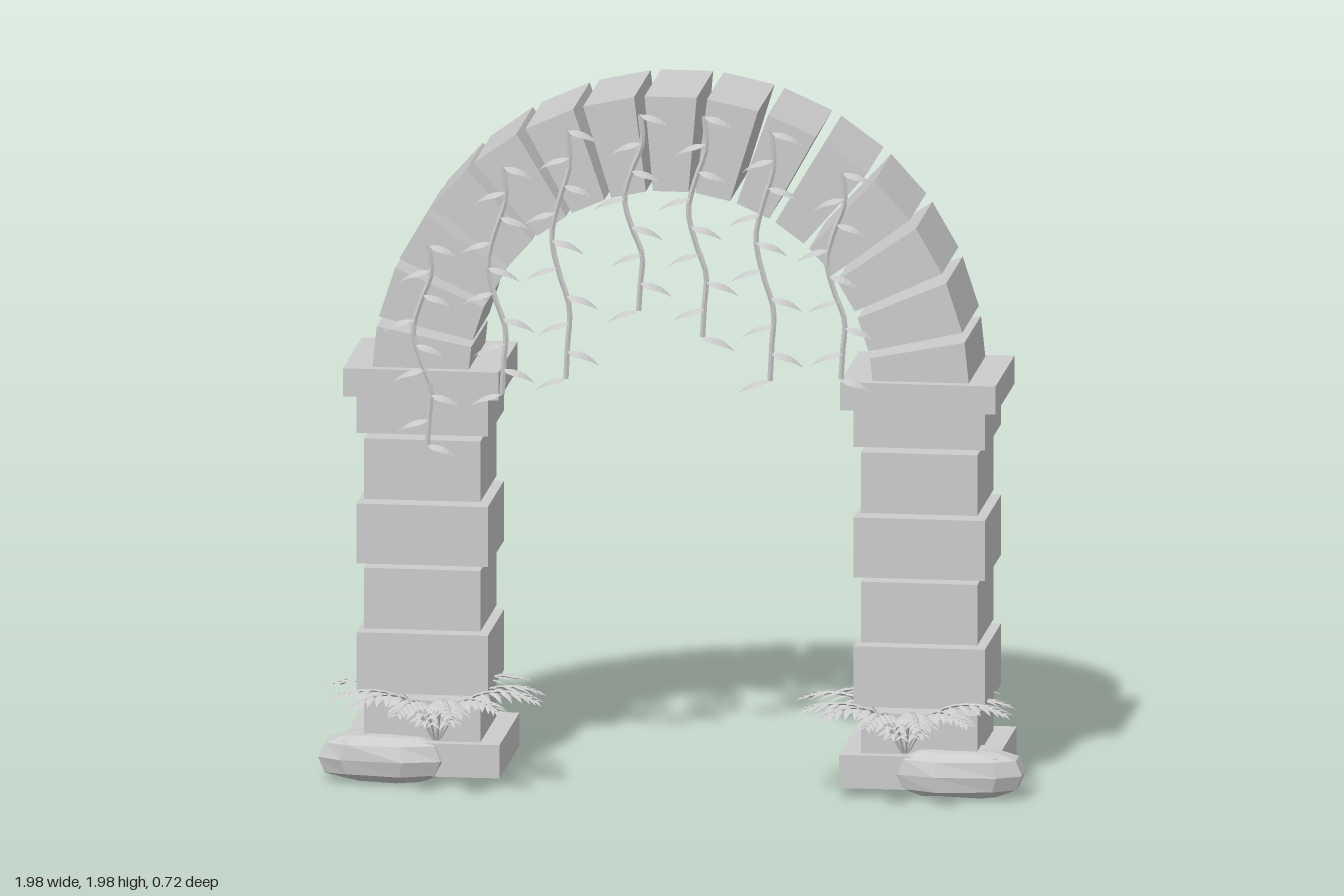
import * as THREE from 'three';
import { mergeGeometries } from 'three/addons/utils/BufferGeometryUtils.js';

const stone = new THREE.MeshStandardMaterial({ color: 0xcccccc, flatShading: true });
stone.name = 'pale grey stone';
const foliage = new THREE.MeshStandardMaterial({ color: 0xcccccc, side: THREE.DoubleSide, flatShading: true });
foliage.name = 'pale grey foliage';

function add(parent, name, geometry, material) {
  const mesh = new THREE.Mesh(geometry, material);
  mesh.name = name;
  parent.add(mesh);
  return mesh;
}

// Box given by its limits on each axis
function block(parent, name, x0, x1, y0, y1, z0, z1) {
  const mesh = add(parent, name, new THREE.BoxGeometry(x1 - x0, y1 - y0, z1 - z0), stone);
  mesh.position.set((x0 + x1) / 2, (y0 + y1) / 2, (z0 + z1) / 2);
}

// Thin blade along +x: pointed tip, drooping end, lowered edges
function blade(length, width, droop, steps) {
  const pos = [], index = [];
  for (let i = 0; i <= steps; i++) {
    const t = i / steps;
    const w = width / 2 * Math.sin(Math.PI * Math.pow(t, 0.7));
    const y = length * 0.25 * t - droop * t * t;
    pos.push(t * length, y - w * 0.25, -w, t * length, y, 0, t * length, y - w * 0.25, w);
    if (i < steps) {
      const a = i * 3;
      for (const k of [a, a + 1]) index.push(k, k + 1, k + 3, k + 1, k + 4, k + 3);
    }
  }
  const g = new THREE.BufferGeometry();
  g.setAttribute('position', new THREE.Float32BufferAttribute(pos, 3));
  g.setIndex(index);
  g.computeVertexNormals();
  return g;
}

function placed(geometry, point, turn, scale = 1) {
  const q = new THREE.Quaternion().setFromEuler(new THREE.Euler(0, turn, 0));
  return geometry.clone().applyMatrix4(
    new THREE.Matrix4().compose(point, q, new THREE.Vector3(scale, scale, scale)));
}

// Pillar of alternating wide and narrow courses, with base slab and cap
function pillar(side) {
  const g = new THREE.Group();
  g.name = side > 0 ? 'leftPillar' : 'rightPillar';
  const cx = side * 0.7;
  block(g, 'baseSlab', cx - 0.222, cx + 0.222, 0.03, 0.125, -0.352, 0.08);
  const courses = [[0.125, 0.24], [0.257, 0.43], [0.442, 0.615], [0.627, 0.798], [0.812, 0.985], [1.0, 1.11]];
  courses.forEach(([y0, y1], i) => {
    const w = i % 2 ? 0.185 : 0.164;
    block(g, 'course', cx - w, cx + w, y0, y1, -0.297, 0.05);
  });
  block(g, 'cap', cx - 0.219, cx + 0.219, 1.11, 1.19, -0.33, 0.08);
  return g;
}

// Fifteen wedge stones around a half circle
function arch() {
  const g = new THREE.Group();
  g.name = 'arch';
  const inner = 0.57, outer = 0.84, spread = Math.tan(THREE.MathUtils.degToRad(5));
  const shape = new THREE.Shape([
    new THREE.Vector2(-inner * spread, inner), new THREE.Vector2(inner * spread, inner),
    new THREE.Vector2(outer * spread, outer), new THREE.Vector2(-outer * spread, outer)]);
  const wedge = new THREE.ExtrudeGeometry(shape, { depth: 0.355, bevelEnabled: false });
  for (let i = -7; i <= 7; i++) {
    const mesh = add(g, i === 0 ? 'keystone' : 'archStone', wedge, stone);
    mesh.position.set(0, 1.145, -0.305);
    mesh.rotation.z = THREE.MathUtils.degToRad(12 * i);
  }
  return g;
}

// Hanging vine: wavy stem with leaves on alternate sides
function vine(x, top, bottom) {
  const g = new THREE.Group();
  g.name = 'vine';
  const sway = [0, 0.005, -0.025, -0.045, -0.025, 0.005, 0.0, -0.005];
  const curve = new THREE.CatmullRomCurve3(sway.map((s, i) =>
    new THREE.Vector3(x + s, THREE.MathUtils.lerp(top, bottom, i / (sway.length - 1)), 0.085)));
  add(g, 'vineStem', new THREE.TubeGeometry(curve, 20, 0.008, 5), foliage);
  const leaf = blade(0.09, 0.078, 0.06, 6);
  const leaves = [], count = Math.round((top - bottom) / 0.075);
  for (let i = 0; i <= count; i++) {
    const p = curve.getPoint(i / count);
    p.z = 0.092;
    leaves.push(placed(leaf, p, i % 2 ? Math.PI : 0));
  }
  add(g, 'vineLeaves', mergeGeometries(leaves), foliage);
  return g;
}

// Fern: arching fronds in a ring, each with paired leaflets
function fern(side) {
  const g = new THREE.Group();
  g.name = side > 0 ? 'leftFern' : 'rightFern';
  const curve = new THREE.CatmullRomCurve3([
    [0.01, 0], [0.05, 0.07], [0.1, 0.125], [0.17, 0.15], [0.24, 0.15], [0.29, 0.135],
  ].map(([x, y]) => new THREE.Vector3(x, y, 0)));
  const parts = [new THREE.TubeGeometry(curve, 10, 0.004, 4)];
  for (const name of ['uv']) parts[0].deleteAttribute(name);
  const leaflet = blade(0.075, 0.024, 0.04, 3);
  for (let i = 2; i <= 12; i++) {
    const t = i / 12;
    const p = curve.getPoint(t);
    const size = 0.35 + 0.65 * Math.sin(Math.PI * Math.min(0.93, t * 0.9));
    for (const s of [1, -1]) parts.push(placed(leaflet, p, s * (1.05 - 0.5 * t), size));
  }
  const frond = mergeGeometries(parts);
  const count = 12;
  for (let i = 0; i < count; i++) {
    const mesh = add(g, 'frond', frond, foliage);
    mesh.rotation.y = (i / count) * Math.PI * 2 + 0.26;
    mesh.scale.setScalar(i % 2 ? 1 : 0.95);
  }
  g.position.set(side * 0.66, 0.13, 0.045);
  return g;
}

// Long faceted boulder: a squared-off ball with uneven facets
function boulder(side) {
  const geo = new THREE.SphereGeometry(1, 9, 6);
  const p = geo.attributes.position;
  const square = v => Math.sign(v) * Math.pow(Math.abs(v), 0.72);
  for (let i = 0; i < p.count; i++) {
    const x = p.getX(i), y = p.getY(i), z = p.getZ(i);
    const bump = 1 + 0.05 * Math.sin(5 * x + 3 * y + 4 * z);
    p.setXYZ(i, square(x) * 0.195, square(y) * 0.07 * bump, square(z) * 0.095 * bump);
  }
  geo.computeVertexNormals();
  const mesh = new THREE.Mesh(geo, stone);
  mesh.name = side > 0 ? 'leftBoulder' : 'rightBoulder';
  mesh.position.set(side * 0.805, 0.074, 0.02);
  mesh.rotation.y = side > 0 ? 0 : Math.PI;
  return mesh;
}

export function createModel() {
  const model = new THREE.Group();
  model.name = 'overgrownStoneArch';
  model.add(arch());
  for (const side of [-1, 1]) model.add(pillar(side), fern(side), boulder(side));
  const vines = [
    [-0.675, 1.55, 0.98], [-0.465, 1.78, 1.13], [-0.285, 1.89, 1.18], [-0.08, 1.94, 1.38],
    [0.1, 1.94, 1.31], [0.29, 1.9, 1.19], [0.49, 1.79, 1.2]];
  for (const v of vines) model.add(vine(...v));
  return model;
}
